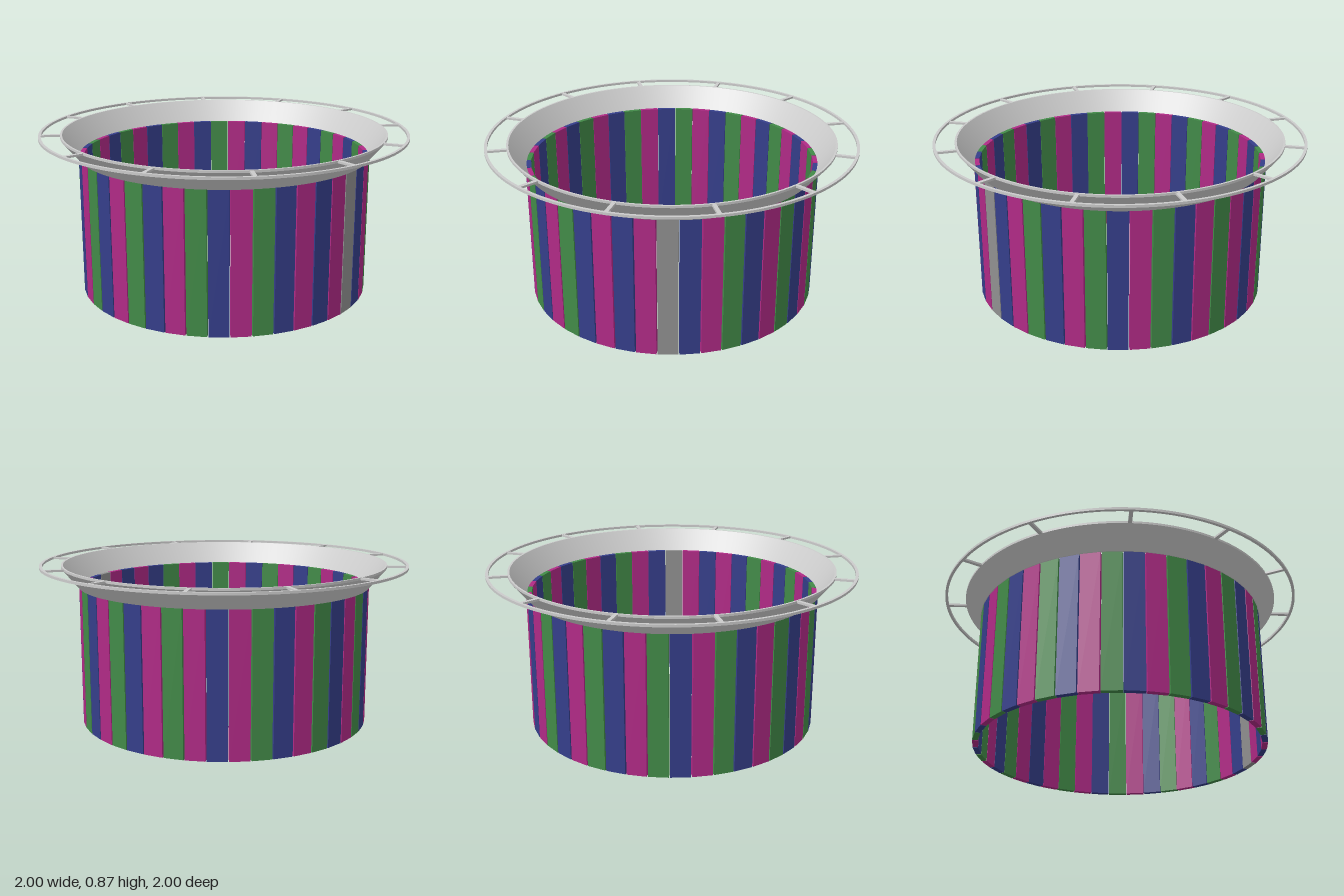
import * as THREE from 'three';
import { toCreasedNormals } from 'three/addons/utils/BufferGeometryUtils.js';

const grey = new THREE.MeshStandardMaterial({ color: 0xcccccc });
const paint = {
  p: new THREE.MeshStandardMaterial({ color: 0xb02a86 }),
  g: new THREE.MeshStandardMaterial({ color: 0x428a48 }),
  b: new THREE.MeshStandardMaterial({ color: 0x353e8a }),
  x: new THREE.MeshStandardMaterial({ color: 0x909090 }),
};

// Stave colours in order, turning from the front (+z) towards the left (+x)
const STAVES = 'pgbpgbpbpxbpgbpgbpgbpgpbpgbpgbpgbpgbpgbpgbpgb';
const WALL_TOP = 0.757;
const RIM_TOP = 0.874;

// Closed ring turned from an [r, y] section listed counter-clockwise
function turned(name, section) {
  const points = [...section, section[0]].map(([r, y]) => new THREE.Vector2(r, y));
  const geometry = toCreasedNormals(new THREE.LatheGeometry(points, 120), 0.5);
  const mesh = new THREE.Mesh(geometry, grey);
  mesh.name = name;
  return mesh;
}

// Box standing at a radius and facing outwards
function radialBox(name, geometry, material, angle, radius, y) {
  const mesh = new THREE.Mesh(geometry, material);
  mesh.name = name;
  mesh.position.set(Math.sin(angle) * radius, y, Math.cos(angle) * radius);
  mesh.rotation.y = angle;
  return mesh;
}

export function createModel() {
  const model = new THREE.Group();
  model.name = 'staveDrum';

  // Wall of flat staves
  const wall = new THREE.Group();
  wall.name = 'staveWall';
  const staveGeometry = new THREE.BoxGeometry(0.104, WALL_TOP, 0.03);
  const step = (Math.PI * 2) / STAVES.length;
  [...STAVES].forEach((key, i) => {
    wall.add(radialBox('stave', staveGeometry, paint[key], (i + 0.5) * step, 0.776, WALL_TOP / 2));
  });
  model.add(wall);

  // Flared collar with a thin flat lip
  model.add(turned('flaredCollar', [
    [0.786, WALL_TOP], [0.796, WALL_TOP], [0.885, 0.862], [0.885, RIM_TOP], [0.874, RIM_TOP],
  ]));

  // Outer hoop
  model.add(turned('outerHoop', [
    [0.985, 0.861], [1, 0.861], [1, RIM_TOP], [0.985, RIM_TOP],
  ]));

  // Spokes joining collar and hoop
  const spokes = new THREE.Group();
  spokes.name = 'spokes';
  const spokeGeometry = new THREE.BoxGeometry(0.02, 0.011, 0.108);
  for (let i = 0; i < 12; i++) {
    spokes.add(radialBox('spoke', spokeGeometry, grey, (i * Math.PI) / 6, 0.935, 0.8675));
  }
  model.add(spokes);

  return model;
}
